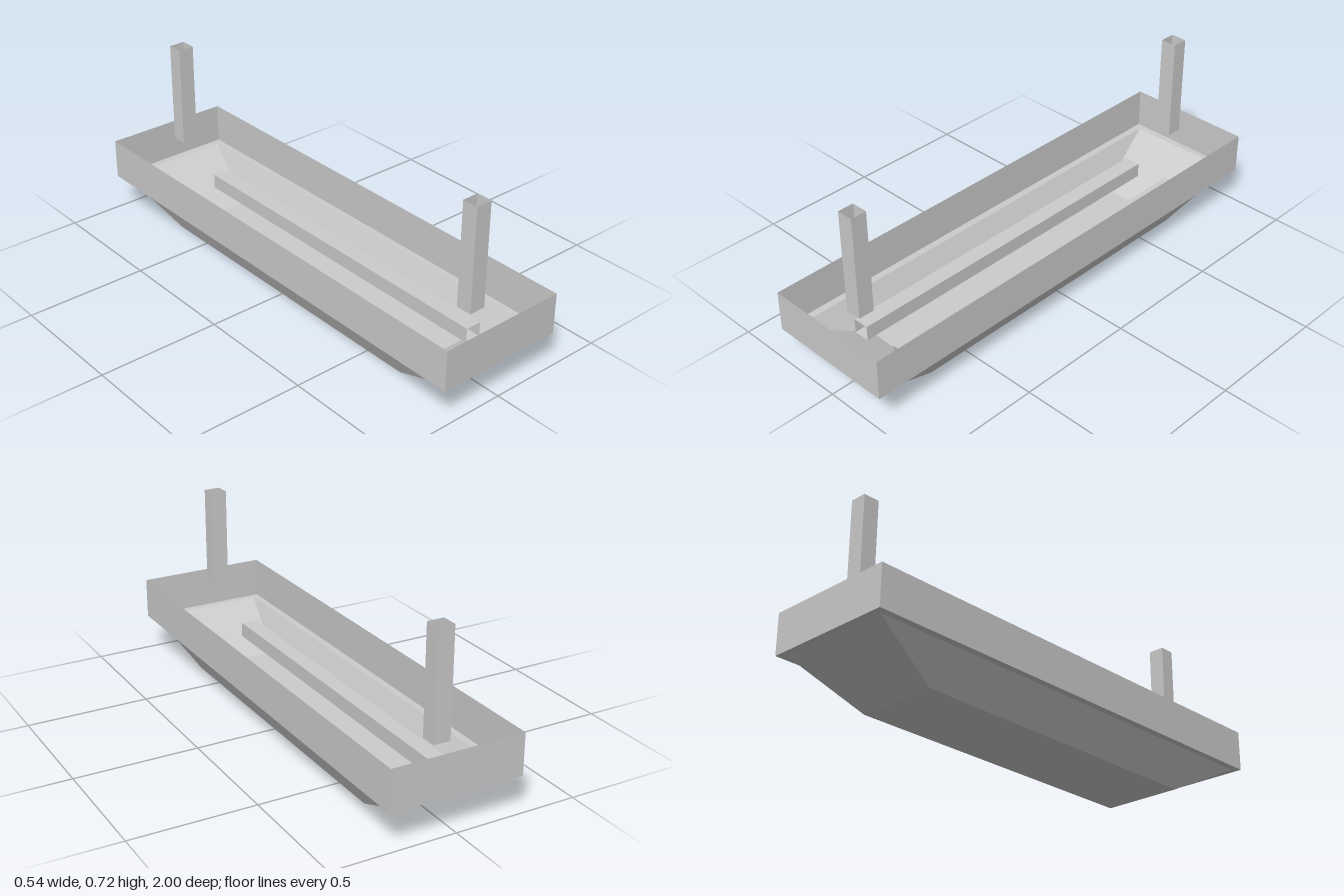
import * as THREE from 'three';

const material = new THREE.MeshStandardMaterial({
  color: 0xcccccc, flatShading: true, side: THREE.DoubleSide,
});

function addMesh(parent, name, geometry) {
  const mesh = new THREE.Mesh(geometry, material);
  mesh.name = name;
  parent.add(mesh);
  return mesh;
}

// Thin four-sided shell through rectangular rings [halfX, halfZ, y], top to bottom.
function ringShell(rings, closeBottom = false) {
  const positions = [];
  const corners = ([x, z, y]) => [[x, y, z], [x, y, -z], [-x, y, -z], [-x, y, z]];
  const quad = (a, b, c, d) => positions.push(...a, ...b, ...c, ...a, ...c, ...d);
  for (let r = 0; r < rings.length - 1; r++) {
    const top = corners(rings[r]), low = corners(rings[r + 1]);
    for (let i = 0; i < 4; i++) {
      const j = (i + 1) % 4;
      quad(low[i], low[j], top[j], top[i]);
    }
  }
  if (closeBottom) {
    const [a, b, c, d] = corners(rings[rings.length - 1]);
    quad(d, c, b, a);
  }
  const geometry = new THREE.BufferGeometry();
  geometry.setAttribute('position', new THREE.Float32BufferAttribute(positions, 3));
  geometry.computeVertexNormals();
  return geometry;
}

export function createModel() {
  const model = new THREE.Group();
  model.name = 'openBarge';

  // Upright side walls with the narrow ledge under them
  addMesh(model, 'sideWalls', ringShell([
    [0.27, 1, 0.315], [0.27, 1, 0.148], [0.241, 0.972, 0.148],
  ]));

  // Tapered lower hull with a flat floor
  addMesh(model, 'lowerHull', ringShell([
    [0.241, 0.972, 0.148], [0.168, 0.675, 0],
  ], true));

  // Hollow square posts at both ends
  for (const [name, z] of [['frontPost', 0.843], ['backPost', -0.863]]) {
    const post = addMesh(model, name, ringShell([
      [0.034, 0.033, 0.722], [0.034, 0.033, 0.295],
    ]));
    post.position.z = z;
  }

  // Pair of long hollow beams inside the hull
  for (const side of [1, -1]) {
    const beam = addMesh(model, side > 0 ? 'leftBeam' : 'rightBeam', ringShell([
      [0.034, 0.031, 0.768], [0.034, 0.031, -0.768],
    ]));
    beam.rotation.x = Math.PI / 2;
    beam.position.set(side * 0.109, 0.097, -0.003);
  }

  return model;
}
